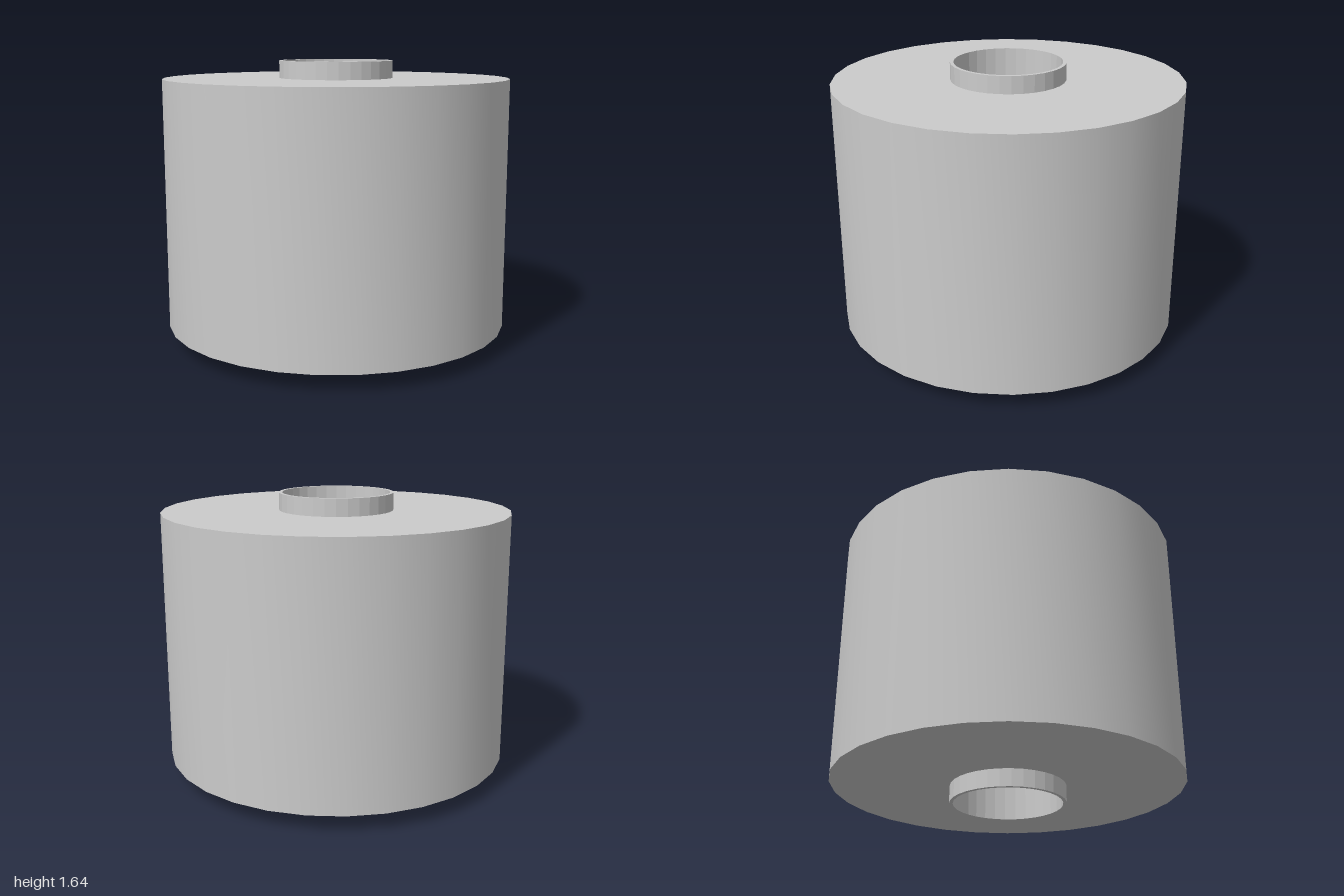
import * as THREE from 'three';
import { toCreasedNormals } from 'three/addons/utils/BufferGeometryUtils.js';

// Closed ring with a rectangular section, turned about the y axis
function ring(name, inner, outer, bottom, top, sides, flatShading) {
  const section = [
    [outer, bottom], [outer, top], [inner, top], [inner, bottom], [outer, bottom],
  ].map(([r, y]) => new THREE.Vector2(r, y));
  const lathe = new THREE.LatheGeometry(section, sides, Math.PI / 2);
  const material = new THREE.MeshStandardMaterial({ color: 0xcccccc, flatShading });
  const mesh = new THREE.Mesh(toCreasedNormals(lathe, 0.6), material);
  mesh.name = name;
  return mesh;
}

export function createModel() {
  const group = new THREE.Group();
  group.name = 'bushing';

  // Thick round body, smooth around its side
  group.add(ring('body', 0.325, 1, 0.1, 1.545, 30, false));

  // Thin faceted sleeve through the bore, standing out at both ends
  group.add(ring('sleeve', 0.31, 0.33, 0, 1.645, 32, true));

  return group;
}
